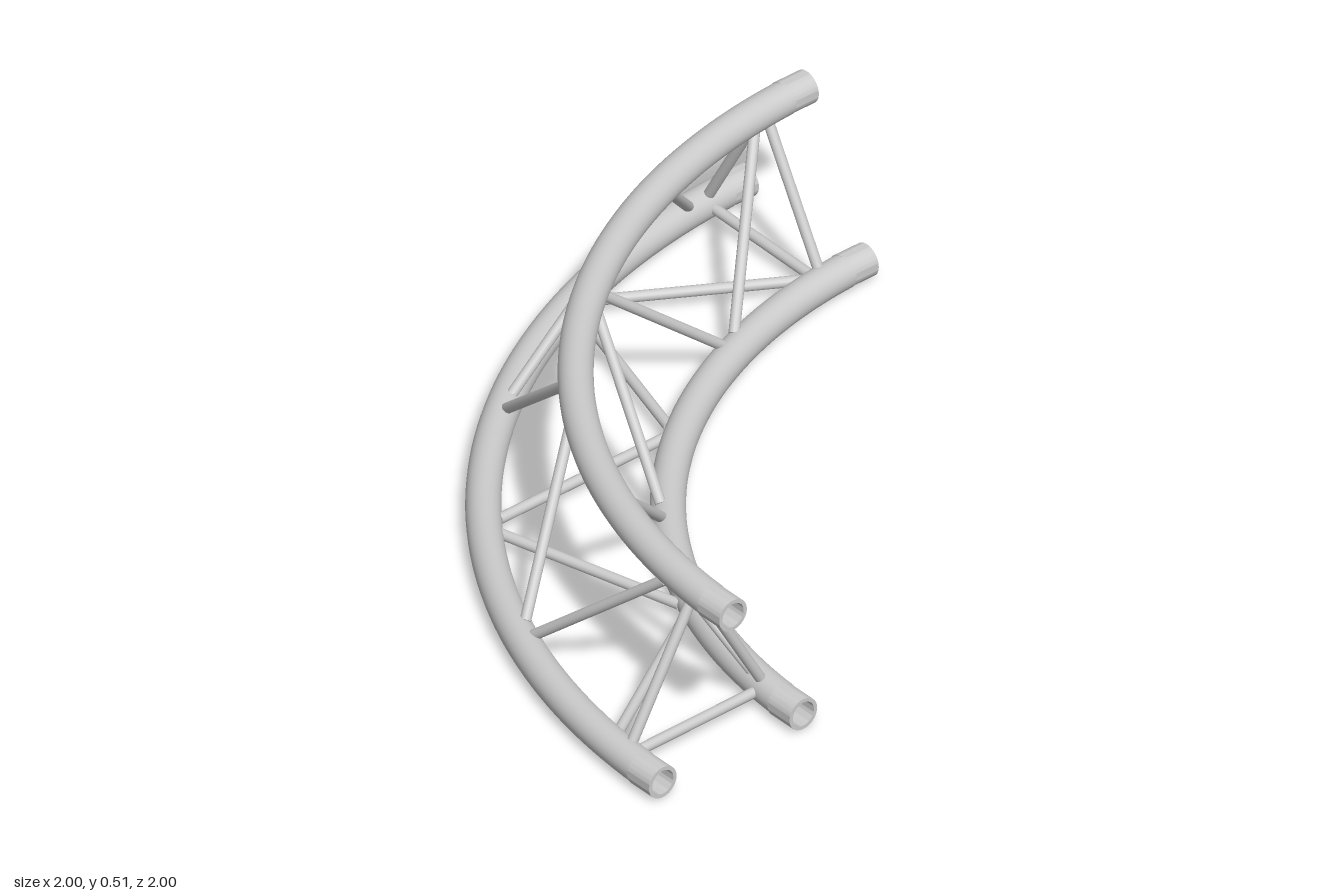
import * as THREE from 'three';
import { toCreasedNormals } from 'three/addons/utils/BufferGeometryUtils.js';

const TUBE_R = 0.047, BORE_R = 0.036, BAR_R = 0.015;
const SLEEVE = 0.088;          // straight length at each chord end
const FRAME = 0.155;           // distance of the end frames from the chord ends

// The three chords: bend radius about (1, 1) and height
const CHORDS = {
  outer: { r: 1.953, y: 0.047 },
  inner: { r: 1.473, y: 0.047 },
  upper: { r: 1.713, y: 0.467 },
};

const grey = new THREE.MeshStandardMaterial({ color: 0xcccccc });
const bore = new THREE.MeshStandardMaterial({ color: 0xcccccc, side: THREE.BackSide });

const bendPoint = (r, y, a) => new THREE.Vector3(1 - r * Math.cos(a), y, 1 - r * Math.sin(a));

class BendCurve extends THREE.Curve {
  constructor(r, y) {
    super();
    this.r = r;
    this.y = y;
    this.trim = 0.9 * SLEEVE / r;
  }
  getPoint(t, target = new THREE.Vector3()) {
    const a = this.trim + t * (Math.PI / 2 - 2 * this.trim);
    return target.copy(bendPoint(this.r, this.y, a));
  }
}

function addMesh(parent, name, geometry, material = grey) {
  const mesh = new THREE.Mesh(geometry, material);
  mesh.name = name;
  parent.add(mesh);
  return mesh;
}

// Straight hollow end piece, running from z = 0 to z = SLEEVE
function sleeveGeometry() {
  const ring = new THREE.Shape().absarc(0, 0, TUBE_R, 0, Math.PI * 2, false);
  ring.holes.push(new THREE.Path().absarc(0, 0, BORE_R, 0, Math.PI * 2, true));
  const g = new THREE.ExtrudeGeometry(ring, { depth: SLEEVE, bevelEnabled: false, curveSegments: 32 });
  return toCreasedNormals(g, 0.6);
}

// Bent hollow chord with a straight sleeve at both ends
function makeChord(name, { r, y }) {
  const chord = new THREE.Group();
  chord.name = name;
  const curve = new BendCurve(r, y);
  addMesh(chord, 'bentTube', new THREE.TubeGeometry(curve, 64, TUBE_R, 32));
  addMesh(chord, 'tubeBore', new THREE.TubeGeometry(curve, 64, BORE_R, 24), bore);
  const sleeve = sleeveGeometry();
  addMesh(chord, 'frontSleeve', sleeve).position.set(1 - r, y, 1 - SLEEVE);
  const side = addMesh(chord, 'sideSleeve', sleeve);
  side.position.set(1 - SLEEVE, y, 1 - r);
  side.rotation.y = Math.PI / 2;
  return chord;
}

// Point on the wall of chord c that faces chord d, at bend angle a
function wallPoint(c, d, a) {
  const dir = new THREE.Vector2(d.r - c.r, d.y - c.y).setLength(0.04);
  return bendPoint(c.r + dir.x, c.y + dir.y, a);
}

function addBar(parent, name, p, q) {
  const dir = q.clone().sub(p);
  const bar = addMesh(parent, name, new THREE.CylinderGeometry(BAR_R, BAR_R, dir.length(), 16));
  bar.position.copy(p).add(q).multiplyScalar(0.5);
  bar.quaternion.setFromUnitVectors(new THREE.Vector3(0, 1, 0), dir.normalize());
}

// Zigzag of five bars between two chords; the gaps (degrees) part the bars at each node
function makeLacing(name, a, b, gapA, gapB) {
  const lacing = new THREE.Group();
  lacing.name = name;
  const rad = THREE.MathUtils.degToRad;
  const node = (i) => 6.4 + 15.55 * i;
  for (let i = 0; i < 5; i++) {
    const [c, d, g, h] = i % 2 ? [b, a, gapB, gapA] : [a, b, gapA, gapB];
    addBar(lacing, 'diagonalBar',
      wallPoint(c, d, rad(node(i) + g)),
      wallPoint(d, c, rad(node(i + 1) - h)));
  }
  return lacing;
}

// Triangular frame near one end, square to the chord ends
function makeEndFrame(name, atSide) {
  const frame = new THREE.Group();
  frame.name = name;
  const { outer, inner, upper } = CHORDS;
  const at = (c, d) => {
    const s = Math.asin(FRAME / c.r);
    return wallPoint(c, d, atSide ? Math.PI / 2 - s : s);
  };
  for (const [c, d] of [[outer, inner], [outer, upper], [inner, upper]]) {
    addBar(frame, 'frameBar', at(c, d), at(d, c));
  }
  return frame;
}

export function createModel() {
  const truss = new THREE.Group();
  truss.name = 'curvedTruss';
  const { outer, inner, upper } = CHORDS;

  // Chords
  for (const [key, chord] of Object.entries(CHORDS)) truss.add(makeChord(key + 'Chord', chord));

  // Lacing on the three faces
  truss.add(makeLacing('bottomLacing', outer, inner, 1, 1));
  truss.add(makeLacing('innerLacing', inner, upper, 1.2, 1.2));
  truss.add(makeLacing('outerLacing', upper, outer, 2.8, 1));

  // End frames
  truss.add(makeEndFrame('frontEndFrame', false));
  truss.add(makeEndFrame('sideEndFrame', true));
  return truss;
}
